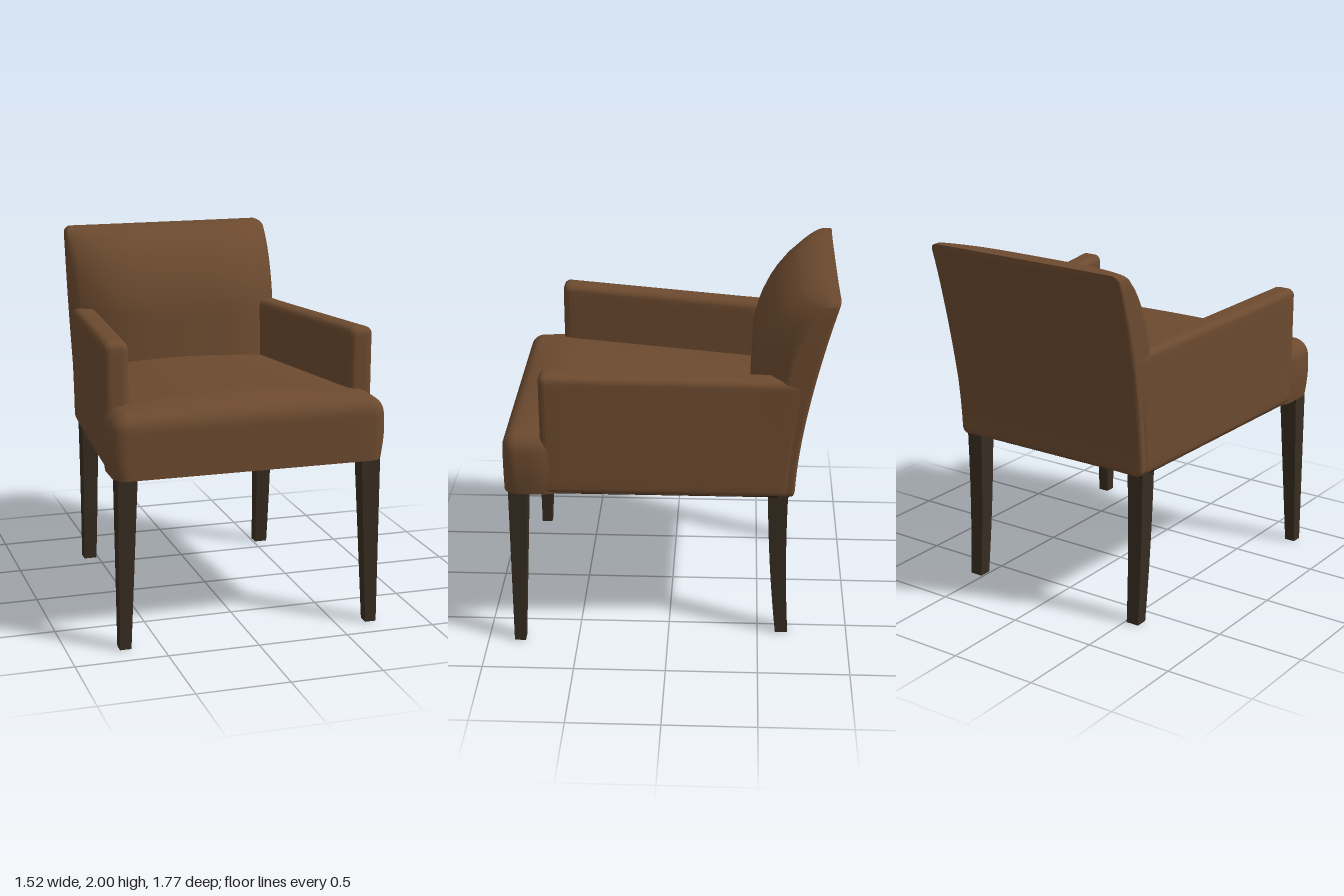
import * as THREE from 'three';
import { mergeVertices, toCreasedNormals } from 'three/addons/utils/BufferGeometryUtils.js';

const clamp = THREE.MathUtils.clamp;

const leather = new THREE.MeshStandardMaterial({ color: 0x6c4a2f });
leather.name = 'brown leather';
const wood = new THREE.MeshStandardMaterial({ color: 0x372d21 });
wood.name = 'dark wood';
const lining = new THREE.MeshStandardMaterial({ color: 0x060606 });
lining.name = 'black lining';

// Shared shape rules: the chair narrows and sinks towards the rear
const outerX = (z) => 0.745 - 0.096 * Math.max(0, 0.65 - z);
const sink = (z) => -0.05 * Math.max(0, 0.65 - z);
const rearZ = (y) => -0.685 - 0.2 * Math.pow(clamp((y - 0.87) / 1.09, 0, 1.1), 1.6);

// Move every vertex of a geometry by a rule
function reshape(geometry, rule) {
  const pos = geometry.attributes.position;
  const p = new THREE.Vector3();
  for (let i = 0; i < pos.count; i++) {
    rule(p.fromBufferAttribute(pos, i));
    pos.setXYZ(i, p.x, p.y, p.z);
  }
  geometry.computeVertexNormals();
  return geometry;
}

// Finely divided box with round edges, then bent by a rule
function softBox(min, max, r, rule) {
  const n = 28, k = 5;
  let geometry = new THREE.BoxGeometry(2, 2, 2, n, n, n);
  geometry.deleteAttribute('uv');
  geometry.deleteAttribute('normal');
  geometry = mergeVertices(geometry);
  const lo = new THREE.Vector3(...min), hi = new THREE.Vector3(...max);
  const innerLo = lo.clone().addScalar(r), innerHi = hi.clone().addScalar(-r);
  const place = (t, a, b) => {
    const i = Math.round(((t + 1) / 2) * n);
    if (i < k) return a + (r * i) / k;
    if (i > n - k) return b - (r * (n - i)) / k;
    return a + r + ((b - a - 2 * r) * (i - k)) / (n - 2 * k);
  };
  const inner = new THREE.Vector3();
  reshape(geometry, (p) => {
    p.set(place(p.x, lo.x, hi.x), place(p.y, lo.y, hi.y), place(p.z, lo.z, hi.z));
    inner.copy(p).clamp(innerLo, innerHi);
    p.sub(inner).setLength(r).add(inner);
    rule(p);
  });
  return toCreasedNormals(geometry, 0.8);
}

// Square leg whose centre and half width follow the height
function legGeometry(top, section) {
  const geometry = new THREE.BoxGeometry(2, 1, 2, 1, 10, 1);
  return reshape(geometry, (p) => {
    const t = p.y + 0.5;
    const s = section(t);
    p.set(s.x + p.x * s.hx, t * top, s.z + p.z * s.hz);
  });
}

export function createModel() {
  const chair = new THREE.Group();
  chair.name = 'armchair';
  const add = (name, geometry, material) => {
    const mesh = new THREE.Mesh(geometry, material);
    mesh.name = name;
    chair.add(mesh);
  };

  // Crowned seat, full width in front of the arms and tucked in between them
  add('seat', softBox([-0.745, 0.83, -0.6], [0.745, 1.27, 0.88], 0.08, (p) => {
    const up = clamp((p.y - 0.93) / 0.34, 0, 1);
    const u = p.x / 0.745;
    const front = p.z > 0.65;
    const crown = 0.045 * (1 - u * u) * clamp((0.88 - p.z) / 0.2, 0, 1);
    p.x = u * (front ? 0.742 + 0.018 * Math.sin(Math.PI * up) : outerX(p.z) - 0.025);
    p.y = Math.max(p.y, 0.93) + crown * up + sink(p.z);
  }), leather);

  // Backrest: leaning rear face, front curving over to the top and round to the sides
  add('backrest', softBox([-0.612, 0.862, -0.15], [0.612, 2, 0.15], 0.04, (p) => {
    const t = p.z / 0.3 + 0.5;
    const s = clamp((p.y - 1.55) / 0.45, 0, 1);
    const u = Math.abs(p.x) / 0.612;
    const rear = rearZ(p.y);
    const front = -0.435 - 0.01 * clamp((p.y - 1.2) / 0.35, 0, 1)
      - 0.05 * s - 0.33 * (1 - Math.sqrt(1 - s * s));
    const depth = (front - rear) * (1 - 0.5 * Math.pow(u, 4));
    p.z = rear + t * depth;
    p.x *= 1 + 0.012 * Math.sin(Math.PI * clamp((p.y - 1.2) / 0.8, 0, 1));
    p.y += 0.05 * (p.z + 0.68) * clamp((1.4 - p.y) / 0.5, 0, 1);
  }), leather);

  for (const side of [1, -1]) {
    const label = side > 0 ? 'left' : 'right';

    // Arm panel reaching from the underside to the arm top
    add(label + 'Arm', softBox([-0.0675, 0.93, -0.7], [0.0675, 1.615, 0.675], 0.04, (p) => {
      p.x += side * (outerX(p.z) - 0.0675);
      p.y += sink(p.z);
      p.z += (rearZ(p.y) + 0.73) * clamp((-p.z - 0.4) / 0.3, 0, 1);
    }), leather);

    // Tapered front leg with straight outer and front faces
    add(label + 'FrontLeg', legGeometry(0.94, (t) => {
      const h = 0.031 + 0.022 * t;
      return { x: side * (0.725 - h), z: 0.855 - h, hx: h, hz: h };
    }), wood);

    // Rear leg sweeping backwards at the foot
    add(label + 'RearLeg', legGeometry(0.9, (t) => ({
      x: side * 0.548,
      z: -0.595 - 0.04 * (1 - t) * (1 - t),
      hx: 0.037 + 0.011 * t,
      hz: 0.035 + 0.02 * t,
    })), wood);
  }

  // Thin dust cover under the seat
  const cover = new THREE.BoxGeometry(2, 0.008, 1.495, 1, 1, 24).translate(0, 0.929, 0.0925);
  add('dustCover', reshape(cover, (p) => {
    p.x *= outerX(p.z) - 0.03;
    p.y += sink(p.z);
  }), lining);

  return chair;
}
